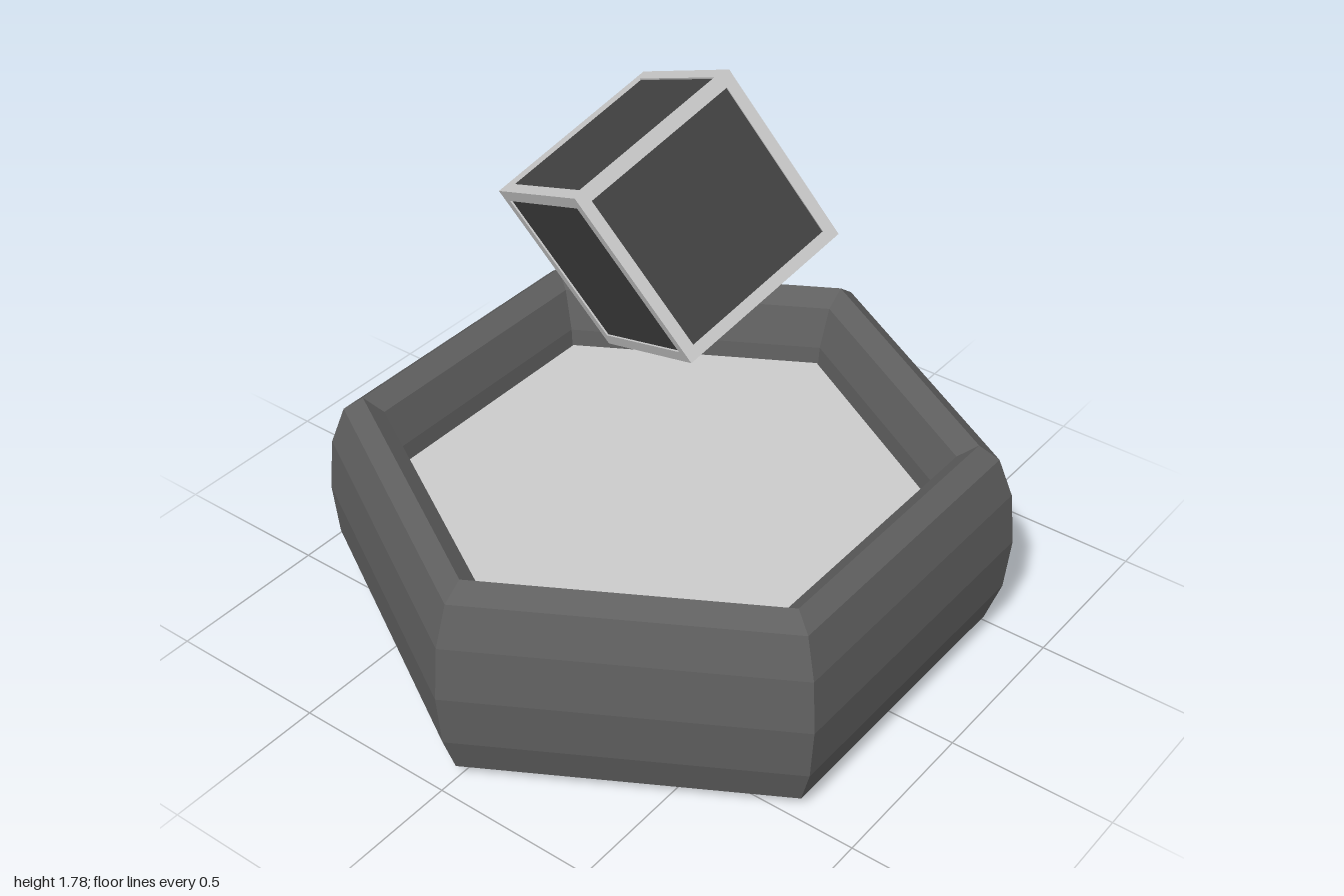
import * as THREE from 'three';

const mat = (color) => new THREE.MeshStandardMaterial({ color, flatShading: true });

function add(parent, name, geometry, material) {
  const mesh = new THREE.Mesh(geometry, material);
  mesh.name = name;
  parent.add(mesh);
  return mesh;
}

export function createModel() {
  const model = new THREE.Group();
  model.name = 'cubeOverHexBase';
  const ringMat = mat(0x606060);
  const panelMat = mat(0x424242);
  const greyMat = mat(0xcccccc);

  // Hexagonal ring: a six-segment torus stretched upwards
  const ringGeo = new THREE.TorusGeometry(0.88, 0.12, 12, 6);
  ringGeo.rotateX(-Math.PI / 2);
  ringGeo.scale(1, 2.75, 1);
  add(model, 'hexRing', ringGeo, ringMat).position.y = 0.33;

  // Plate set inside the ring, corners on the x axis
  const plateGeo = new THREE.CylinderGeometry(0.763, 0.763, 0.06, 6, 1, false, Math.PI / 2);
  add(model, 'plate', plateGeo, greyMat).position.y = 0.415;

  // Floating tilted cube: dark core inside a light frame
  const cube = new THREE.Group();
  cube.name = 'floatingCube';
  const size = 0.536, bar = 0.033;
  const core = size - 0.01;
  add(cube, 'cubePanels', new THREE.BoxGeometry(core, core, core), panelMat);

  // Twelve frame bars, four along each axis
  const off = (size - bar) / 2;
  for (let axis = 0; axis < 3; axis++) {
    const dims = [bar, bar, bar];
    dims[axis] = axis === 0 ? size : size - 2 * bar;
    const barGeo = new THREE.BoxGeometry(...dims);
    for (const a of [-off, off]) {
      for (const b of [-off, off]) {
        const p = [0, 0, 0];
        p[(axis + 1) % 3] = a;
        p[(axis + 2) % 3] = b;
        add(cube, 'frameBar', barGeo, greyMat).position.set(...p);
      }
    }
  }

  // Tilt from two edge directions, the third squared up
  const u = new THREE.Vector3(0.48, 0.2, 0.12).normalize();
  const w = new THREE.Vector3(-0.2, 0.23, 0.44).normalize();
  const v = new THREE.Vector3().crossVectors(w, u).normalize();
  w.crossVectors(u, v);
  cube.quaternion.setFromRotationMatrix(new THREE.Matrix4().makeBasis(u, v, w));
  cube.position.y = 1.348;
  model.add(cube);

  return model;
}
